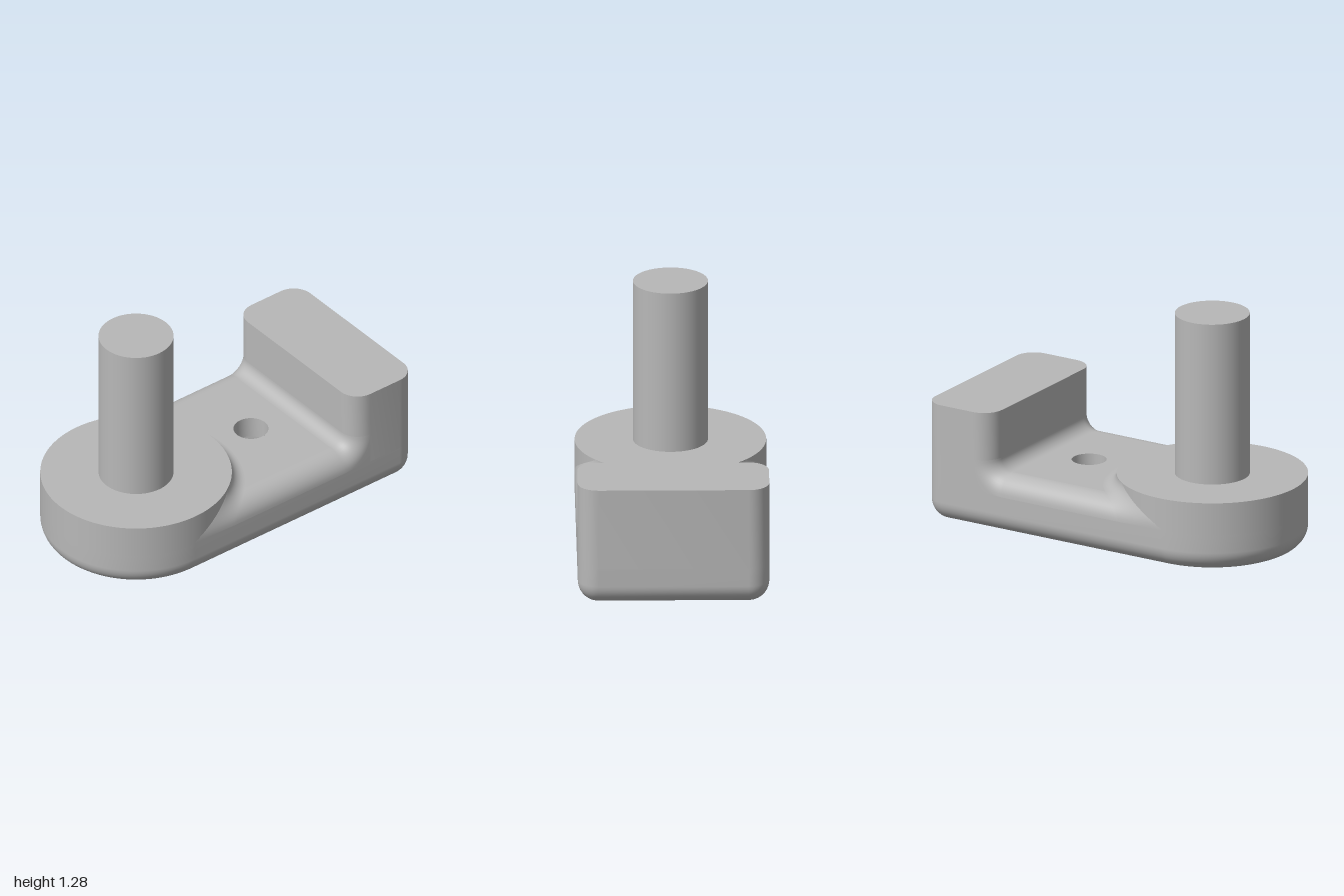
import * as THREE from 'three';
import { toCreasedNormals } from 'three/addons/utils/BufferGeometryUtils.js';

const W = 0.508;        // half width, also the boss radius
const CZ = 1 - W;       // boss and pin centre
const R = 0.11;         // convex edge rounding
const F = 0.07;         // concave fillet
const FLOOR = 0.32, BOSS = 0.39, BLOCK = 0.655, SHOULDER = FLOOR - R;
const BLOCK_Z = -0.58;  // front face of the end block
const HOLE_Z = -0.285, HOLE_R = 0.093, BORE_R = 0.245, BORE_D = 0.2;

const arc = (x, z, r, from, to, n) => Array.from({ length: n + 1 }, (_, i) => {
  const a = from + (to - from) * i / n;
  return [x + r * Math.cos(a), z + r * Math.sin(a)];
});

// Plan outline: round front, square back with rounded corners
function outline(inset) {
  const P = Math.PI, c = W - R, b = -1 + R, r = R - inset;
  return [...arc(0, CZ, W - inset, 0, P, 64),
    ...arc(-c, b, r, P, 1.5 * P, 10), ...arc(c, b, r, 1.5 * P, 2 * P, 10)];
}

// Indexed surface from equal-length rows of points
function surface(rows, closed, skip = () => false) {
  const n = rows[0].length, index = [];
  for (let i = 0; i < rows.length - 1; i++) {
    for (let j = 0; j < (closed ? n : n - 1); j++) {
      if (skip(i, j)) continue;
      const k = (j + 1) % n, a = i * n + j, b = i * n + k, c = a + n, d = b + n;
      if (closed) index.push(a, c, b, b, c, d);
      else index.push(a, b, c, b, d, c);
    }
  }
  const g = new THREE.BufferGeometry();
  g.setAttribute('position', new THREE.Float32BufferAttribute(rows.flat(2), 3));
  g.setIndex(index);
  g.computeVertexNormals();
  return g;
}

function flatShape(points, flip, holeR) {
  const s = new THREE.Shape(points.map(([x, z]) => new THREE.Vector2(x, flip * z)));
  if (holeR) s.holes.push(new THREE.Path().absarc(0, flip * HOLE_Z, holeR, 0, Math.PI * 2, true));
  return s;
}

// Side wall with rounded bottom edge
function bodyWall() {
  const rows = [];
  for (let i = 0; i <= 10; i++) {
    const a = i / 10 * Math.PI / 2;
    rows.push(outline(R * (1 - Math.sin(a))).map(([x, z]) => [x, R * (1 - Math.cos(a)), z]));
  }
  rows.push(outline(0).map(([x, z]) => [x, SHOULDER, z]));
  return surface(rows, true);
}

// Columns across the width; drop is how far the rounded side edge lowers the section
function columns() {
  const side = [], mid = [], n = 10, c = W - R;
  for (let i = n; i >= 1; i--) {
    const a = i / n * Math.PI / 2;
    side.push({ x: c + R * Math.sin(a), drop: R * (1 - Math.cos(a)) });
  }
  for (let i = 0; i <= 32; i++) mid.push({ x: c * (i / 16 - 1), drop: 0 });
  const left = side.map(s => ({ x: -s.x, drop: s.drop }));
  return { all: [...left, ...mid, ...side.reverse()], mid, n };
}
const edgeZ = (x, d) => CZ - Math.sqrt(Math.max(0, (W + d) ** 2 - x * x));

// Saddle surface: block fillet, rounded sides, boss fillet
function saddle(cols, steps = 12) {
  const rows = cols.all.map(({ x, drop }) => {
    const r = F + drop, row = [];
    for (let i = 0; i <= steps; i++) {
      const a = i / steps * Math.PI / 2;
      row.push([x, BOSS - r * Math.sin(a), BLOCK_Z + F - r * Math.cos(a)]);
    }
    for (let i = 0; i <= steps; i++) {
      const a = i / steps * Math.asin(F / r);
      row.push([x, BOSS - r * Math.cos(a), edgeZ(x, F - r * Math.sin(a))]);
    }
    return row;
  });
  const skirt = row => row.map(([x, , z]) => [x, SHOULDER, z]);
  rows.unshift(skirt(rows[0]));
  rows.push(skirt(rows[rows.length - 1]));
  const first = cols.n + 1, last = first + cols.mid.length - 1;
  return surface(rows, false, (i, j) => j === steps && i >= first && i < last);
}

export function createModel() {
  const group = new THREE.Group();
  const steel = new THREE.MeshStandardMaterial({ color: 0xb8b8b8, side: THREE.DoubleSide });
  steel.name = 'grey metal';
  const add = (name, geometry, y = 0, z = 0) => {
    const m = new THREE.Mesh(geometry, steel);
    m.name = name;
    m.position.set(0, y, z);
    group.add(m);
  };

  add('bodyWall', bodyWall());
  add('bottomFace', new THREE.ShapeGeometry(flatShape(outline(R), 1, BORE_R), 48).rotateX(Math.PI / 2));

  // Saddle between block and boss, with its pierced flat floor
  const cols = columns(), c = W - R;
  add('saddle', saddle(cols));
  const floor = [[c, BLOCK_Z + F], [-c, BLOCK_Z + F], ...cols.mid.map(({ x }) => [x, edgeZ(x, F)])];
  add('floor', new THREE.ShapeGeometry(flatShape(floor, -1, HOLE_R), 48).rotateX(-Math.PI / 2), FLOOR);

  // Stepped screw hole
  const bore = [[HOLE_R, FLOOR], [HOLE_R, BORE_D], [BORE_R, BORE_D], [BORE_R, 0]];
  const boreGeo = new THREE.LatheGeometry(bore.map(p => new THREE.Vector2(...p)), 48);
  add('counterbore', toCreasedNormals(boreGeo, 0.6), 0, HOLE_Z);

  // End block with rounded upright corners
  const P = Math.PI, bz = BLOCK_Z - R, back = -1 + R;
  const blockPlan = [...arc(c, bz, R, 0, P / 2, 10), ...arc(-c, bz, R, P / 2, P, 10),
    ...arc(-c, back, R, P, 1.5 * P, 10), ...arc(c, back, R, 1.5 * P, 2 * P, 10)];
  const block = new THREE.ExtrudeGeometry(flatShape(blockPlan, -1),
    { depth: BLOCK - SHOULDER, bevelEnabled: false }).rotateX(-P / 2);
  add('endBlock', toCreasedNormals(block, 0.6), SHOULDER);

  // Round boss and upright pin
  add('boss', new THREE.CylinderGeometry(W, W, BOSS - SHOULDER, 128), (BOSS + SHOULDER) / 2, CZ);
  const pinTop = 1.285;
  add('pin', new THREE.CylinderGeometry(0.199, 0.199, pinTop - BOSS, 64), (pinTop + BOSS) / 2, CZ);

  return group;
}
